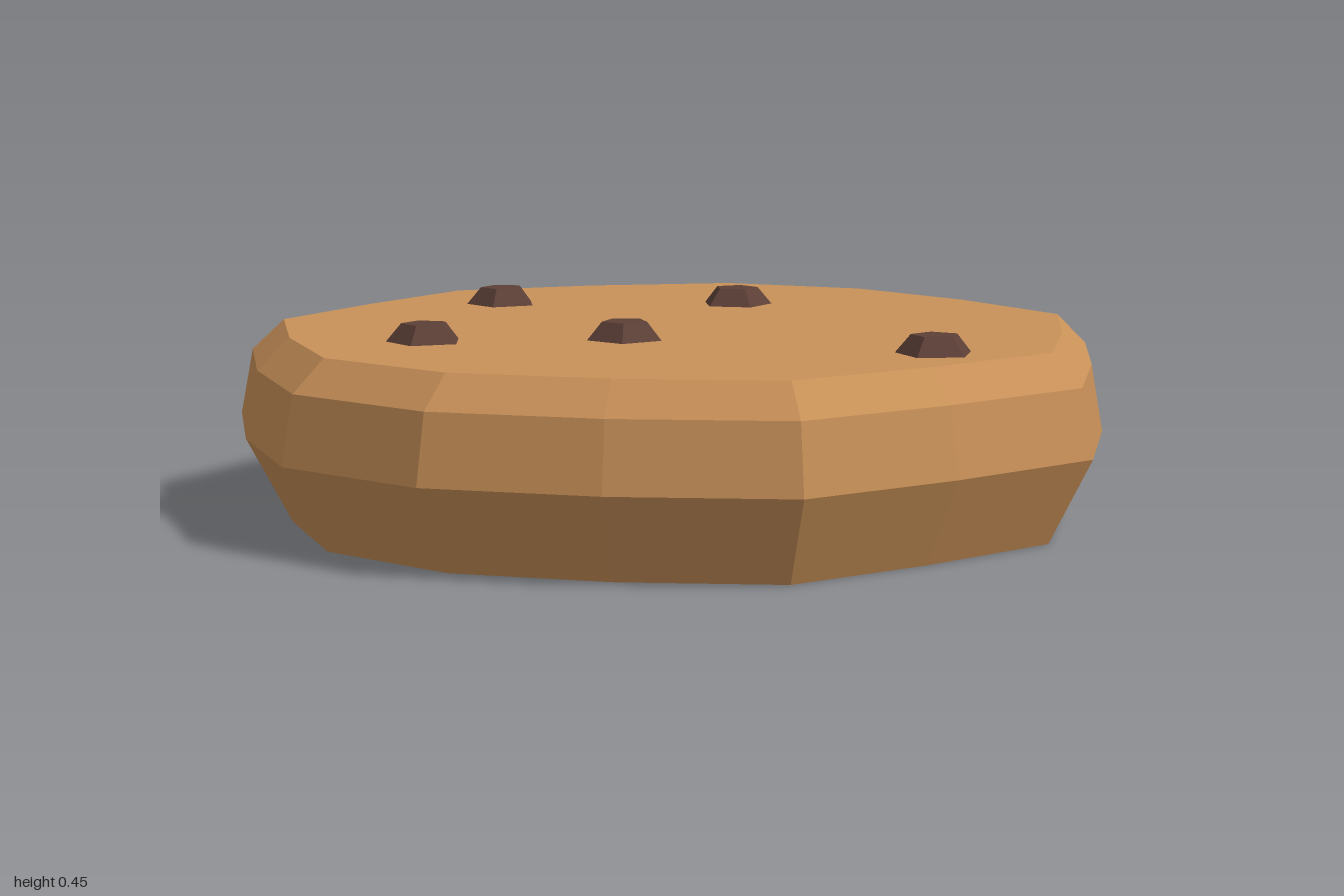
import * as THREE from 'three';

// Uneven outline at the widest level, +x round to -x; mirrored across z
const half = [
  [0.985, 0], [0.85, 0.37], [0.685, 0.72], [0.33, 0.895], [-0.04, 1],
  [-0.425, 0.94], [-0.725, 0.685], [-0.975, 0.39], [-0.99, 0],
];
const outline = [...half, ...half.slice(1, -1).reverse().map(([x, z]) => [x, -z])];

// [scale, height] from the centre of the base to the centre of the top
const profile = [[0, 0], [0.9, 0], [1, 0.19], [0.972, 0.34], [0.9, 0.41], [0, 0.41]];

function cookieGeometry() {
  const pos = [];
  const n = outline.length;
  const point = (ring, i) => {
    const [s, y] = profile[ring];
    const [x, z] = outline[i % n];
    return [x * s, y, z * s];
  };
  for (let r = 0; r < profile.length - 1; r++) {
    for (let i = 0; i < n; i++) {
      const a = point(r, i), b = point(r, i + 1);
      const c = point(r + 1, i + 1), d = point(r + 1, i);
      if (profile[r][0] > 0) pos.push(...a, ...d, ...b);
      if (profile[r + 1][0] > 0) pos.push(...b, ...d, ...c);
    }
  }
  const geo = new THREE.BufferGeometry();
  geo.setAttribute('position', new THREE.Float32BufferAttribute(pos, 3));
  geo.computeVertexNormals();
  return geo;
}

export function createModel() {
  const group = new THREE.Group();
  group.name = 'cookie';
  const dough = new THREE.MeshStandardMaterial({ name: 'dough', color: 0xc89058, flatShading: true });
  const chocolate = new THREE.MeshStandardMaterial({ name: 'chocolate', color: 0x5d4037, flatShading: true });

  const body = new THREE.Mesh(cookieGeometry(), dough);
  body.name = 'cookieBody';
  group.add(body);

  // Five-sided chips sunk slightly into the top: x, z, direction of one corner in degrees
  const chipGeo = new THREE.CylinderGeometry(0.052, 0.094, 0.05, 5);
  const chips = [
    [-0.135, -0.45, 180], [-0.622, -0.17, 0], [0.68, 0.135, 90],
    [-0.008, 0.262, -10], [-0.36, 0.516, 4],
  ];
  chips.forEach(([x, z, deg], i) => {
    const chip = new THREE.Mesh(chipGeo, chocolate);
    chip.name = `chocolateChip${i + 1}`;
    chip.position.set(x, 0.425, z);
    chip.rotation.y = THREE.MathUtils.degToRad(90 - deg);
    group.add(chip);
  });
  return group;
}
